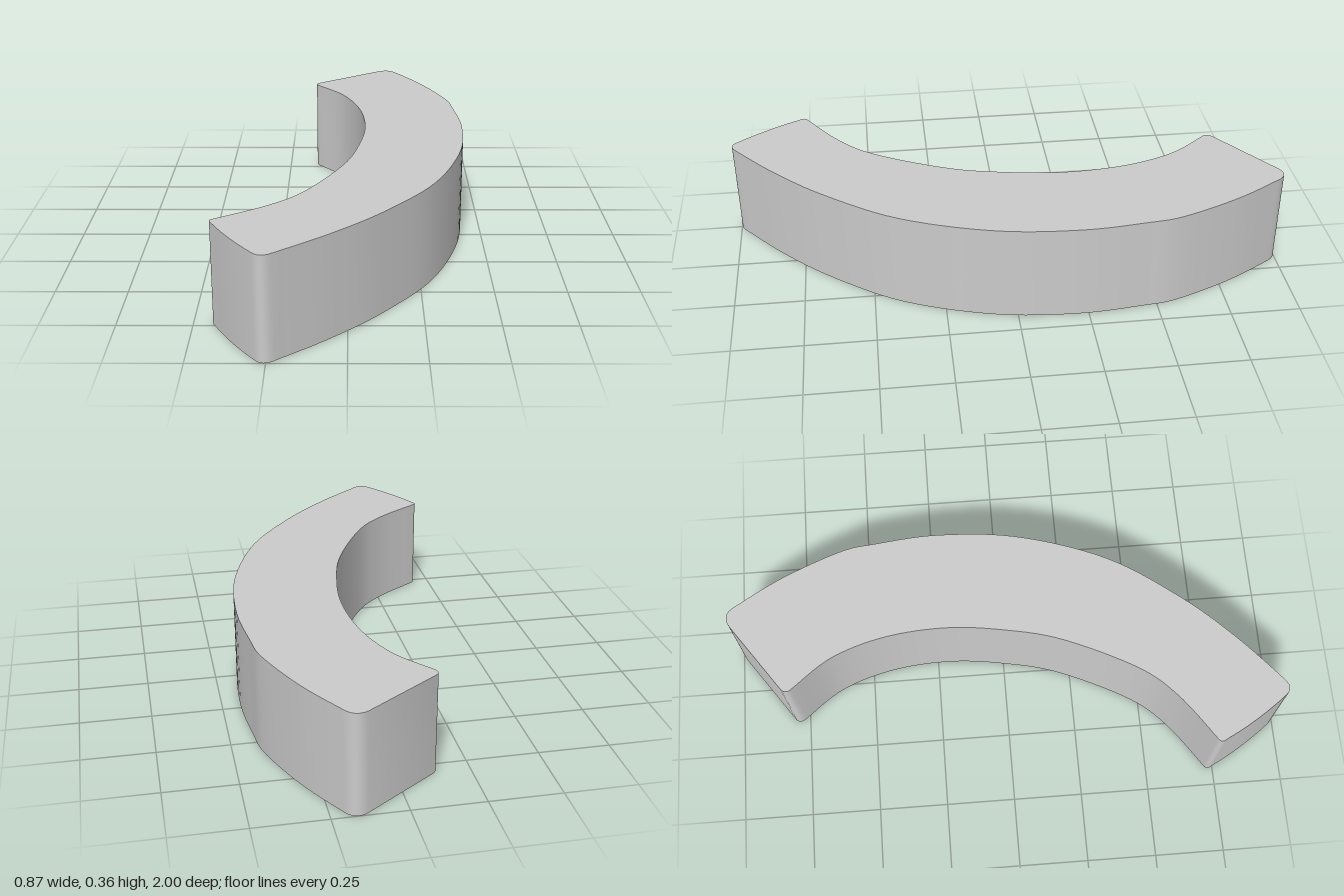
import * as THREE from 'three';
import { toCreasedNormals } from 'three/addons/utils/BufferGeometryUtils.js';

const HEIGHT = 0.36;
const points = (list) => list.map(([x, z]) => new THREE.Vector2(x, z));

export function createModel() {
  const group = new THREE.Group();
  group.name = 'curvedBlock';

  // Plan outline, drawn as (x, z): two long curves joined by ends with rounded corners
  const plan = new THREE.Shape();
  plan.moveTo(0.2, -0.976);
  // Outer curve, back to front
  plan.splineThru(points([[0.304, -0.796], [0.394, -0.58], [0.417, -0.447], [0.435, -0.21],
    [0.405, 0.082], [0.294, 0.4], [0.119, 0.653], [-0.05, 0.833], [-0.222, 0.982]]));
  // Front end, slightly bowed
  plan.quadraticCurveTo(-0.26, 1.016, -0.285, 0.98);
  plan.quadraticCurveTo(-0.37, 0.87, -0.428, 0.752);
  plan.quadraticCurveTo(-0.445, 0.729, -0.426, 0.719);
  // Inner curve, front to back
  plan.splineThru(points([[-0.257, 0.6], [-0.14, 0.468], [-0.013, 0.209], [0.04, 0],
    [0.064, -0.209], [0.045, -0.431], [-0.019, -0.622], [-0.122, -0.762]]));
  // Back end, straight
  plan.quadraticCurveTo(-0.148, -0.789, -0.122, -0.808);
  plan.lineTo(0.13, -0.988);
  plan.quadraticCurveTo(0.172, -1.015, 0.2, -0.976);

  // Extrude the plan and lay it flat on the ground
  const block = new THREE.ExtrudeGeometry(plan, { depth: HEIGHT, bevelEnabled: false, curveSegments: 6 });
  block.rotateX(Math.PI / 2);
  block.translate(0, HEIGHT, 0);

  const body = new THREE.Mesh(
    toCreasedNormals(block, 0.6),
    new THREE.MeshStandardMaterial({ color: 0xcccccc })
  );
  body.name = 'arcBody';
  group.add(body);
  return group;
}
